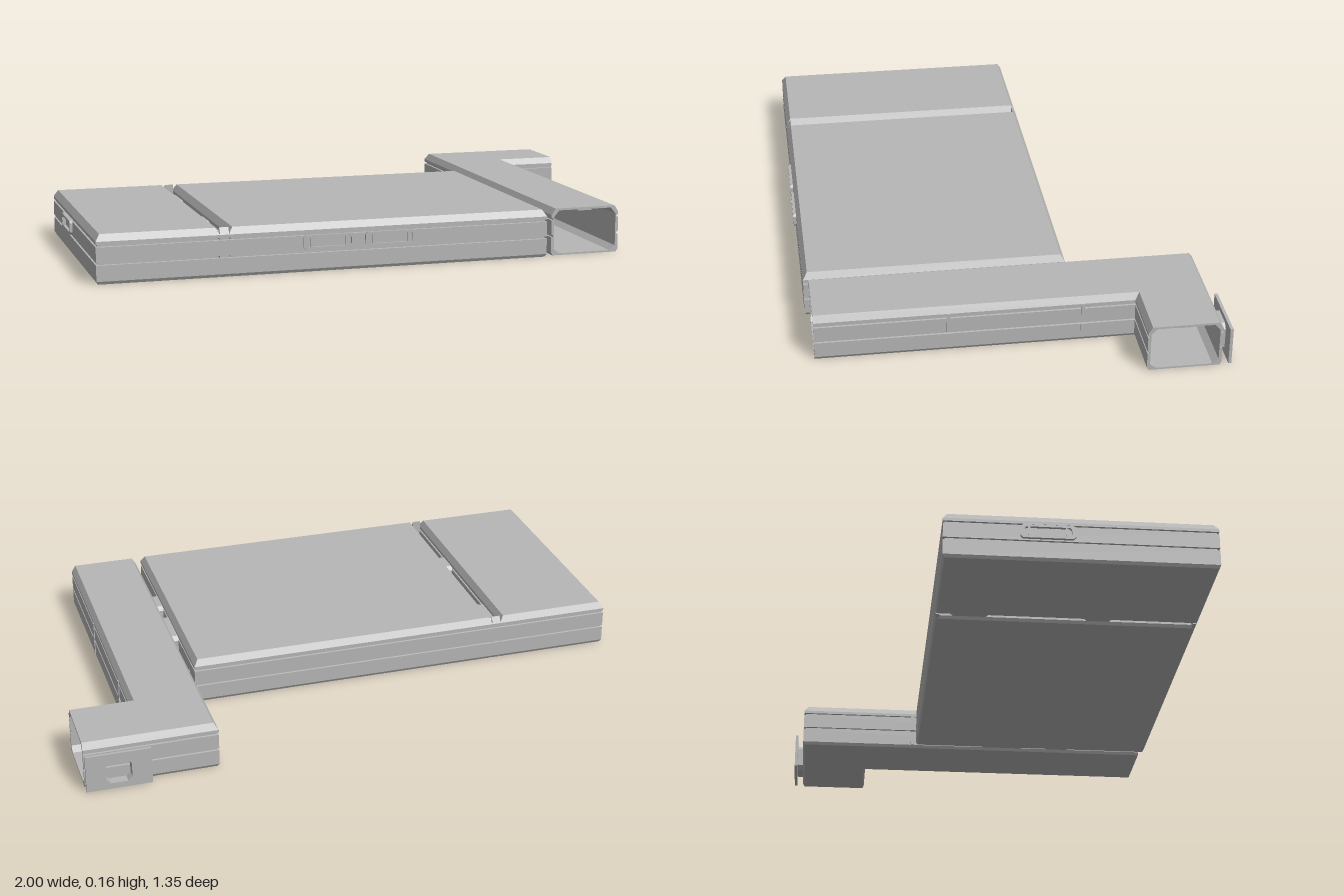
import * as THREE from 'three';

const gray = new THREE.MeshStandardMaterial({ color: 0xb6b6b6, side: THREE.DoubleSide });
gray.name = 'plain gray';

// Wall section from floor to roof: [inset, y], with two horizontal grooves
const wall = [
  [0.006, 0], [0, 0.01], [0, 0.062], [0.006, 0.063], [0.006, 0.069], [0, 0.07],
  [0, 0.12], [0.006, 0.121], [0.006, 0.127], [0, 0.128], [0, 0.138], [0.014, 0.16],
];
const inner = [[0.03, 0.006], [0.01, 0.022], [0.01, 0.132], [0.028, 0.153]];

function mesh(name, geometry, parent) {
  const m = new THREE.Mesh(geometry, gray);
  m.name = name;
  parent.add(m);
  return m;
}

function box(name, x0, x1, y0, y1, z0, z1, parent) {
  const m = mesh(name, new THREE.BoxGeometry(x1 - x0, y1 - y0, z1 - z0), parent);
  m.position.set((x0 + x1) / 2, (y0 + y1) / 2, (z0 + z1) / 2);
  return m;
}

// Flat-faced skin through closed rings, optionally capped with four-sided ends
function loft(rings, capped) {
  const p = [];
  const quad = (a, b, c, d) => p.push(...a, ...b, ...c, ...a, ...c, ...d);
  for (let i = 0; i < rings.length - 1; i++) {
    const r = rings[i], s = rings[i + 1], n = r.length;
    for (let j = 0; j < n; j++) quad(r[j], r[(j + 1) % n], s[(j + 1) % n], s[j]);
  }
  if (capped) {
    quad(...rings[0].slice().reverse());
    quad(...rings[rings.length - 1]);
  }
  const g = new THREE.BufferGeometry();
  g.setAttribute('position', new THREE.Float32BufferAttribute(p, 3));
  g.computeVertexNormals();
  return g;
}

function room(name, x0, x1, z0, z1, parent) {
  const rings = wall.map(([i, y]) => [
    [x0 + i, y, z1 - i], [x1 - i, y, z1 - i], [x1 - i, y, z0 + i], [x0 + i, y, z0 + i],
  ]);
  mesh(name, loft(rings, true), parent);
}

// Closed cross-section of the corridor, mirrored about its middle
function section(half) {
  const w = 0.122;
  return [
    ...half.map(([i, y]) => [w - i, y]),
    ...half.slice().reverse().map(([i, y]) => [i - w, y]),
  ];
}

function toShape(points, Type = THREE.Shape) {
  return new Type(points.map(([x, y]) => new THREE.Vector2(x, y)));
}

// Rectangle with cut corners
function octagon(w, y0, y1, c) {
  const h = w / 2;
  return [[h - c, y0], [h, y0 + c], [h, y1 - c], [h - c, y1],
    [c - h, y1], [-h, y1 - c], [-h, y0 + c], [c - h, y0]];
}

function frame(outer, hole, depth) {
  const s = toShape(outer);
  s.holes.push(toShape(hole, THREE.Path));
  return new THREE.ExtrudeGeometry(s, { depth, bevelEnabled: false });
}

function windowFrame(name, parent) {
  const g = new THREE.Group();
  g.name = name;
  mesh('windowRim', frame(octagon(0.176, 0.075, 0.122, 0.008), octagon(0.15, 0.083, 0.114, 0.006), 0.01), g);
  for (const s of [-1, 1]) box('windowBar', s * 0.06 - 0.004, s * 0.06 + 0.004, 0.08, 0.117, 0, 0.008, g);
  parent.add(g);
  return g;
}

export function createModel() {
  const model = new THREE.Group();
  model.name = 'buildingModule';

  // Two rooms side by side
  const zBack = -0.217, zFront = 0.662;
  room('smallRoom', -0.99, -0.59, zBack, zFront, model);
  room('largeRoom', -0.562, 0.532, zBack, zFront, model);

  // Wall strips closing the gap between the rooms at front and back
  const strip = toShape([...wall, [0.016, 0.16], [0.016, 0]]);
  for (const front of [true, false]) {
    const m = mesh('gapWall', new THREE.ExtrudeGeometry(strip, { depth: 0.03, bevelEnabled: false }), model);
    m.rotation.y = front ? Math.PI / 2 : -Math.PI / 2;
    m.position.set(front ? -0.591 : -0.561, 0, front ? zFront : zBack);
  }

  // Short passages across the gaps
  const passages = [[-0.592, -0.1, 0.14], [-0.592, 0.33, 0.105], [0.53, 0.115, 0.175], [0.53, 0.325, 0.11]];
  for (const [x, z, w] of passages) {
    const g = frame(octagon(w, 0.01, 0.13, 0.014), octagon(w - 0.016, 0.018, 0.122, 0.012), 0.032);
    const m = mesh('passage', g, model);
    m.rotation.y = Math.PI / 2;
    m.position.set(x, 0, z);
  }

  // Window frames on the front and the end wall
  for (const x of [-0.23, -0.02]) windowFrame('frontWindow', model).position.set(x, 0, zFront - 0.001);
  const end = windowFrame('endWindow', model);
  end.rotation.y = -Math.PI / 2;
  end.position.set(-0.99, 0, 0.115);

  // Hollow L-shaped corridor, open at both ends
  const corridor = new THREE.Group();
  corridor.name = 'corridor';
  model.add(corridor);
  const cx = 0.677, cz = -0.525, zEnd = 0.645;
  const sweep = (points) => [
    points.map(([o, y]) => [cx + o, y, zEnd]),
    points.map(([o, y]) => [cx + o, y, cz + o]),
    points.map(([o, y]) => [1, y, cz + o]),
  ];
  const outerLoop = section(wall), innerLoop = section(inner);
  mesh('corridorOutside', loft(sweep(outerLoop.slice().reverse())), corridor);
  mesh('corridorInside', loft(sweep(innerLoop)), corridor);
  const rim = toShape(outerLoop);
  rim.holes.push(toShape(innerLoop, THREE.Path));
  mesh('frontRim', new THREE.ShapeGeometry(rim), corridor).position.set(cx, 0, zEnd);
  const sideRim = mesh('sideRim', new THREE.ShapeGeometry(rim), corridor);
  sideRim.rotation.y = Math.PI / 2;
  sideRim.position.set(1, 0, cz);

  // Ceiling lamps along the corridor and in the arm
  box('ceilingLamp', cx - 0.025, cx + 0.025, 0.148, 0.153, -0.35, 0.64, corridor);
  box('ceilingLamp', 0.8, 0.995, 0.148, 0.153, cz - 0.025, cz + 0.025, corridor);

  // Thin joint ribs on both long walls
  for (const z of [0.21, -0.23]) {
    for (const s of [-1, 1]) {
      const x = cx + s * 0.122;
      box('jointRib', x - 0.003, x + 0.003, 0.012, 0.062, z - 0.006, z + 0.006, corridor);
      box('jointRib', x - 0.003, x + 0.003, 0.07, 0.136, z - 0.006, z + 0.006, corridor);
    }
  }

  // Doorway at the back of the arm: neck and outer plate
  const door = new THREE.Group();
  door.name = 'backDoorway';
  door.position.set(0.892, 0, -0.68);
  model.add(door);
  const opening = octagon(0.084, 0.022, 0.1, 0.014);
  mesh('doorNeck', frame(octagon(0.104, 0.012, 0.112, 0.016), opening, 0.04), door);
  const plate = [[0.108, 0.002], [0.108, 0.13], [-0.108, 0.13], [-0.108, 0.002]];
  mesh('doorPlate', frame(plate, opening, 0.01), door);
  return model;
}
